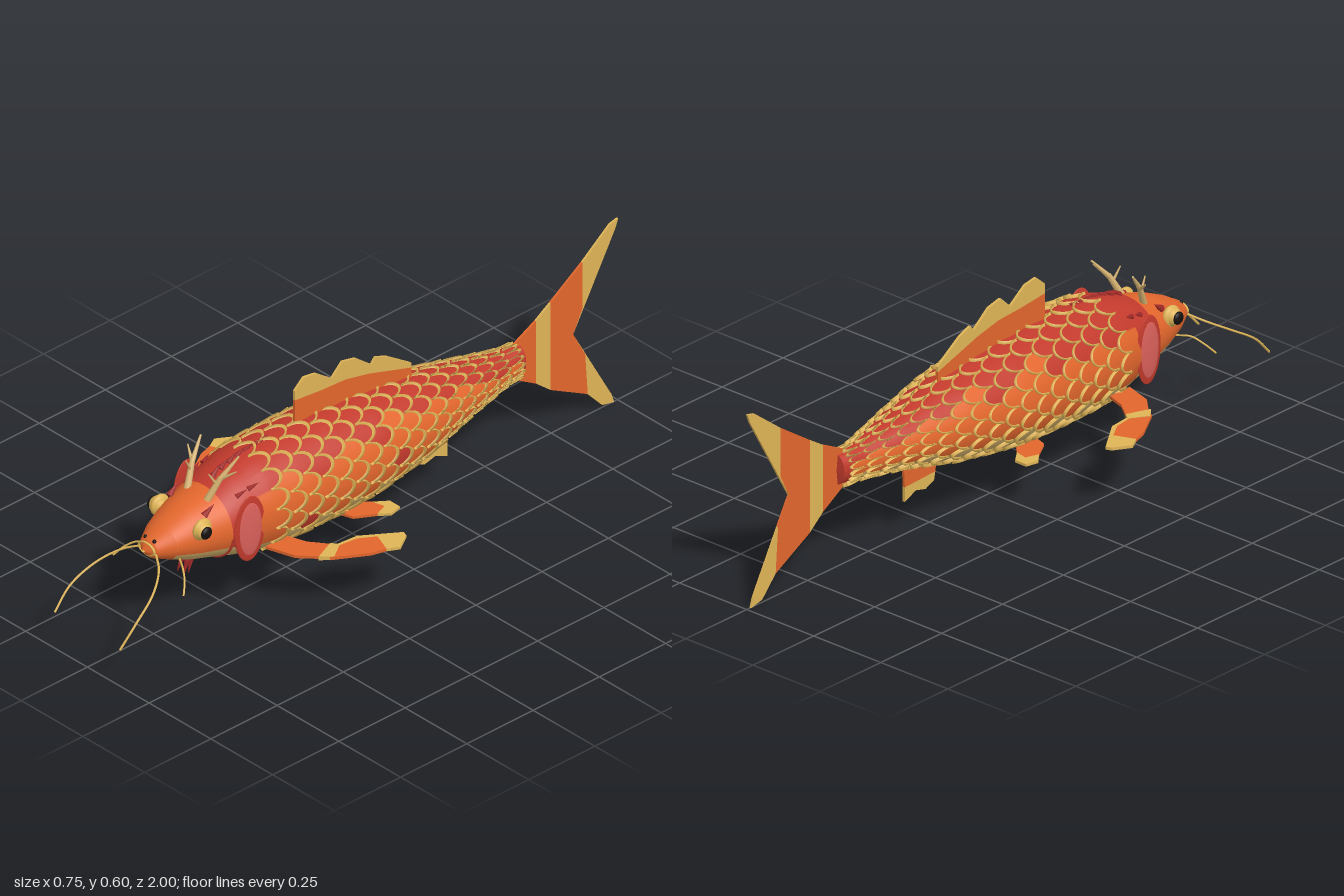
import * as THREE from 'three';

const mat = (name, color, side = THREE.FrontSide) => {
  const m = new THREE.MeshStandardMaterial({ color, side });
  m.name = name;
  return m;
};

// Body stations: z, centre height, half height, half width
const STATIONS = [
  [0.788, 0.288, 0.004, 0.005], [0.77, 0.289, 0.028, 0.036], [0.72, 0.293, 0.054, 0.066],
  [0.65, 0.295, 0.084, 0.093], [0.56, 0.295, 0.109, 0.119], [0.5, 0.298, 0.134, 0.132],
  [0.42, 0.3, 0.148, 0.142], [0.3, 0.3, 0.154, 0.149], [0.15, 0.3, 0.154, 0.152],
  [0, 0.299, 0.146, 0.148], [-0.2, 0.301, 0.118, 0.123], [-0.4, 0.303, 0.073, 0.079],
  [-0.55, 0.298, 0.048, 0.041], [-0.63, 0.297, 0.045, 0.028], [-0.635, 0.297, 0.002, 0.002],
];
function station(z) {
  let i = 0;
  while (i < STATIONS.length - 2 && z < STATIONS[i + 1][0]) i++;
  const a = STATIONS[i], b = STATIONS[i + 1];
  const t = THREE.MathUtils.clamp((z - a[0]) / (b[0] - a[0]), 0, 1);
  return [1, 2, 3].map((k) => a[k] + (b[k] - a[k]) * t);
}
// Point on the skin, a = angle from the top towards +x, raised by lift
function skin(z, a, lift = 0) {
  const [cy, ry, rx] = station(z);
  return [(rx + lift) * Math.sin(a), cy + (ry + lift) * Math.cos(a), z];
}

// Adds a grid of rows x cols points to a position/index pair
function addGrid(buf, rows, cols, fn) {
  const base = buf.pos.length / 3;
  for (let i = 0; i <= rows; i++) for (let j = 0; j <= cols; j++) buf.pos.push(...fn(i / rows, j / cols));
  for (let i = 0; i < rows; i++) for (let j = 0; j < cols; j++) {
    const p = base + i * (cols + 1) + j, q = p + cols + 1;
    buf.idx.push(p, p + 1, q, p + 1, q + 1, q);
  }
}
function toGeometry(buf) {
  const g = new THREE.BufferGeometry();
  g.setAttribute('position', new THREE.Float32BufferAttribute(buf.pos, 3));
  g.setIndex(buf.idx);
  g.computeVertexNormals();
  return g;
}
const newBuf = () => ({ pos: [], idx: [] });

// Flat fin from outline points, either upright (z, y) or level (x, z)
function plate(points, thickness, upright) {
  const g = new THREE.ExtrudeGeometry(new THREE.Shape(points.map((p) => new THREE.Vector2(...p))),
    { depth: thickness, bevelEnabled: false });
  g.translate(0, 0, -thickness / 2);
  return upright ? g.rotateY(-Math.PI / 2) : g.rotateX(Math.PI / 2);
}
const vec = (p) => new THREE.Vector3(...p);
const tube = (pts, r, n = 20) =>
  new THREE.TubeGeometry(new THREE.CatmullRomCurve3(pts.map(vec)), n, r, 6, false);
// Tapered rod between two points
function rod(a, b, r0, r1) {
  const A = vec(a), B = vec(b), d = B.clone().sub(A);
  const g = new THREE.CylinderGeometry(r1, r0, d.length(), 7);
  g.applyQuaternion(new THREE.Quaternion().setFromUnitVectors(new THREE.Vector3(0, 1, 0), d.normalize()));
  return g.translate(...A.add(B).multiplyScalar(0.5).toArray());
}

export function createModel() {
  const D = THREE.DoubleSide;
  const red = mat('red', 0xc23a2c, D), orange = mat('orange', 0xe2662c, D), gold = mat('gold', 0xdeb456, D);
  const cream = mat('belly tan', 0xd2b06a, D), pink = mat('gill pink', 0xd9605a);
  const darkRed = mat('dark red', 0xa02a28), black = mat('black', 0x14100e), bone = mat('antler tan', 0xd8b472);
  const model = new THREE.Group();
  const add = (name, geometry, material, parent = model) => {
    const m = new THREE.Mesh(geometry, material);
    m.name = name;
    parent.add(m);
    return m;
  };

  // Skin patches, rows running from front to tail
  const patch = (name, z0, z1, a0, a1, material) => {
    const buf = newBuf();
    addGrid(buf, 24, 40, (v, u) => skin(z0 + (z1 - z0) * v, a0 + (a1 - a0) * u));
    add(name, toGeometry(buf), material);
  };
  const A = 2, B = 2 * Math.PI - A;
  patch('snout', 0.788, 0.72, -Math.PI, Math.PI, orange);
  patch('headTop', 0.72, 0.56, -A, A, orange);
  patch('throat', 0.72, 0.56, A, B, cream);
  patch('bodyTop', 0.56, -0.63, -A, A, red);
  patch('bodyBelly', 0.56, -0.5, A, B, cream);
  patch('tailUnderside', -0.5, -0.63, A, B, red);
  patch('tailStub', -0.63, -0.635, -Math.PI, Math.PI, red);
  const seam = [];
  for (let i = 0; i <= 12; i++) seam.push(skin(0.56, 1.7 + (i / 12) * (2 * Math.PI - 3.4), 0.001));
  add('throatSeam', tube(seam, 0.004, 30), red);

  // Overlapping scales with raised gold rims
  const fills = { red: newBuf(), orange: newBuf(), cream: newBuf() }, rims = newBuf();
  const N = 16, ROWS = 18, PITCH = 0.058, L = 0.098, da = (2 * Math.PI) / N;
  const half = (v) => (v < 0.5 ? 0.52 : 0.52 * Math.sqrt(Math.max(0, 1 - ((v - 0.5) / 0.5) ** 2)));
  const noise = (i, j) => { const s = Math.sin(i * 12.99 + j * 78.23) * 43758.5; return s - Math.floor(s); };
  for (let i = 0; i < ROWS; i++) for (let j = 0; j < N; j++) {
    const z0 = 0.47 - i * PITCH, a0 = (j + (i % 2) / 2) * da;
    const side = Math.abs(Math.atan2(Math.sin(a0), Math.cos(a0)));
    const n = noise(i, j);
    const kind = side > 2.1 ? 'cream' : side < 0.75 + n * 0.45 || n > 0.95 ? 'red' : 'orange';
    const at = (u, v, lift) => skin(z0 - v * L, a0 + u * da, 0.002 + 0.005 * v + lift);
    addGrid(fills[kind], 7, 4, (v, t) => at((t * 2 - 1) * half(v), v, 0));
    // Rim runs round the trailing edge: inner slope, then outer wall
    addGrid(rims, 12, 2, (s, t) => {
      const th = (1 - s * 2) * Math.PI * 0.5, k = t === 0 ? 0.86 : 1;
      return at(0.52 * k * Math.sin(th), 0.5 + 0.5 * k * Math.cos(th), [0.0005, 0.0075, -0.004][t * 2]);
    });
  }
  add('redScales', toGeometry(fills.red), red);
  add('orangeScales', toGeometry(fills.orange), orange);
  add('bellyScales', toGeometry(fills.cream), cream);
  add('scaleRims', toGeometry(rims), gold);

  // Tail fin in bands
  const T = 0.007;
  add('tailRoot', plate([[-0.58, 0.34], [-0.69, 0.395], [-0.69, 0.19], [-0.58, 0.255]], T, true), orange);
  add('tailBand', plate([[-0.69, 0.395], [-0.745, 0.43], [-0.745, 0.145], [-0.69, 0.19]], T, true), gold);
  add('tailWeb', plate([[-0.745, 0.43], [-0.865, 0.51], [-0.865, 0.36], [-0.83, 0.29], [-0.875, 0.21],
    [-0.885, 0.07], [-0.745, 0.145]], T, true), orange);
  add('tailTipUpper', plate([[-0.865, 0.51], [-0.97, 0.59], [-1, 0.597], [-0.99, 0.57], [-0.83, 0.29],
    [-0.865, 0.36]], T, true), gold);
  add('tailTipLower', plate([[-0.885, 0.07], [-0.94, 0.01], [-0.985, 0], [-0.975, 0.03], [-0.83, 0.29],
    [-0.875, 0.21]], T, true), gold);

  // Dorsal fin with a gold edge in three lobes
  const web = [[0.22, 0.535], [0.12, 0.525], [0.03, 0.52], [-0.06, 0.5], [-0.14, 0.475], [-0.22, 0.45]];
  add('dorsalWeb', plate([[0.22, 0.43], ...web, [-0.22, 0.4]], 0.008, true), orange);
  add('dorsalEdge', plate([[0.22, 0.565], [0.185, 0.595], [0.14, 0.588], [0.08, 0.545], [0.04, 0.583],
    [-0.01, 0.572], [-0.07, 0.525], [-0.085, 0.543], [-0.13, 0.525], [-0.22, 0.465],
    ...web.slice().reverse()], 0.008, true), gold);

  // Anal fin
  add('analWeb', plate([[-0.22, 0.21], [-0.36, 0.23], [-0.355, 0.145], [-0.23, 0.15]], 0.008, true), orange);
  add('analEdge', plate([[-0.23, 0.15], [-0.355, 0.145], [-0.355, 0.1], [-0.31, 0.12], [-0.27, 0.11],
    [-0.235, 0.125]], 0.008, true), gold);

  // Paired parts
  for (const s of [1, -1]) {
    const pair = new THREE.Group();
    pair.name = s > 0 ? 'leftSide' : 'rightSide';
    model.add(pair);
    const put = (name, g, m) => add(name, g, m, pair);
    const X = (pts) => pts.map(([x, ...r]) => [s * x, ...r]);
    const P = (...p) => X([p])[0];
    const level = (name, pts, y, m, t = 0.009) => put(name, plate(X(pts), t, false).translate(0, y, 0), m);

    // Pectoral fin
    level('pectoralInner', [[0.12, 0.36], [0.18, 0.34], [0.24, 0.295], [0.28, 0.345], [0.21, 0.412], [0.12, 0.44]], 0.203, orange);
    level('pectoralJoint', [[0.232, 0.3], [0.255, 0.285], [0.29, 0.338], [0.262, 0.372]], 0.204, gold, 0.012);
    level('pectoralOuter', [[0.255, 0.3], [0.264, 0.23], [0.295, 0.18], [0.358, 0.205], [0.345, 0.25], [0.285, 0.35]], 0.204, orange);
    level('pectoralTip', [[0.295, 0.18], [0.328, 0.112], [0.345, 0.118], [0.377, 0.17], [0.358, 0.205]], 0.204, gold);
    level('pectoralEdge', [[0.255, 0.3], [0.247, 0.29], [0.254, 0.22], [0.328, 0.112], [0.295, 0.18], [0.264, 0.23]], 0.204, gold);

    // Pelvic fin
    level('pelvicWeb', [[0.05, 0.12], [0.11, 0.1], [0.145, 0.04], [0.13, 0], [0.09, 0.01], [0.05, 0.05]], 0.147, orange, 0.008);
    level('pelvicTip', [[0.145, 0.04], [0.17, 0.01], [0.16, -0.03], [0.12, -0.03], [0.09, 0.01], [0.13, 0]], 0.147, gold, 0.008);

    // Gill cover: a red plate with a pink shell on it
    const shell = (rx, ry, rz, x, z) =>
      new THREE.SphereGeometry(1, 24, 16).scale(rx, ry, rz).rotateY(-s * 0.08).translate(s * x, 0.3, z);
    put('gillPlate', shell(0.007, 0.105, 0.054, 0.129, 0.508), red);
    put('gillCover', shell(0.008, 0.088, 0.042, 0.131, 0.508), pink);

    // Eye
    const ball = (r, sx) => new THREE.SphereGeometry(r, 18, 12).scale(sx, 1, 1);
    put('eyeSocket', ball(0.033, 0.5).translate(s * 0.086, 0.338, 0.647), gold);
    put('eyeball', ball(0.027, 0.9).translate(s * 0.089, 0.338, 0.65), gold);
    put('pupil', ball(0.019, 0.5).translate(s * 0.109, 0.338, 0.652), black);
    put('browSpike', rod(P(0.07, 0.365, 0.625), P(0.075, 0.392, 0.59), 0.011, 0), darkRed);

    // Antler
    put('antlerStem', rod(P(0.04, 0.385, 0.585), P(0.058, 0.452, 0.55), 0.011, 0.008), bone);
    put('antlerTine', rod(P(0.058, 0.45, 0.55), P(0.077, 0.508, 0.5), 0.008, 0.003), bone);
    put('antlerTine', rod(P(0.058, 0.448, 0.55), P(0.098, 0.48, 0.53), 0.006, 0.002), bone);
    put('antlerTine', rod(P(0.053, 0.43, 0.56), P(0.046, 0.472, 0.585), 0.005, 0.002), bone);

    // Whiskers, nostril and nape spikes
    put('longWhisker', tube(X([[0.03, 0.285, 0.77], [0.075, 0.265, 0.8], [0.115, 0.23, 0.86],
      [0.134, 0.18, 0.94], [0.132, 0.118, 1]]), 0.0035), gold);
    put('shortWhisker', tube(X([[0.05, 0.25, 0.7], [0.09, 0.25, 0.725], [0.12, 0.23, 0.745], [0.143, 0.2, 0.77]]), 0.003), gold);
    put('nostril', new THREE.SphereGeometry(0.006, 8, 6).translate(s * 0.018, 0.317, 0.764), black);
    for (let i = 0; i < 2; i++) {
      const z = 0.52 - i * 0.04;
      put('napeSpike', rod(skin(z, s * 0.75), skin(z - 0.035, s * 0.75, 0.01), 0.008, 0), darkRed);
    }
  }

  // Lips
  add('lips', new THREE.TorusGeometry(0.031, 0.004, 8, 24).scale(1, 0.6, 1).translate(0, 0.291, 0.776), gold);

  // Beard and spikes along the nape
  for (let i = -1; i <= 1; i++) {
    const d = Math.abs(i) * 0.014;
    add('beardSpike', rod([i * 0.01, 0.195, 0.605 + d * 2], [i * 0.013, 0.142 + d, 0.62 + d * 2], 0.009, 0.001), darkRed);
  }
  for (let i = 0; i < 7; i++) {
    const z = 0.53 - i * 0.03;
    add('crestSpike', rod(skin(z, 0), skin(z - 0.03, 0, 0.013), 0.01, 0), darkRed);
  }
  return model;
}
